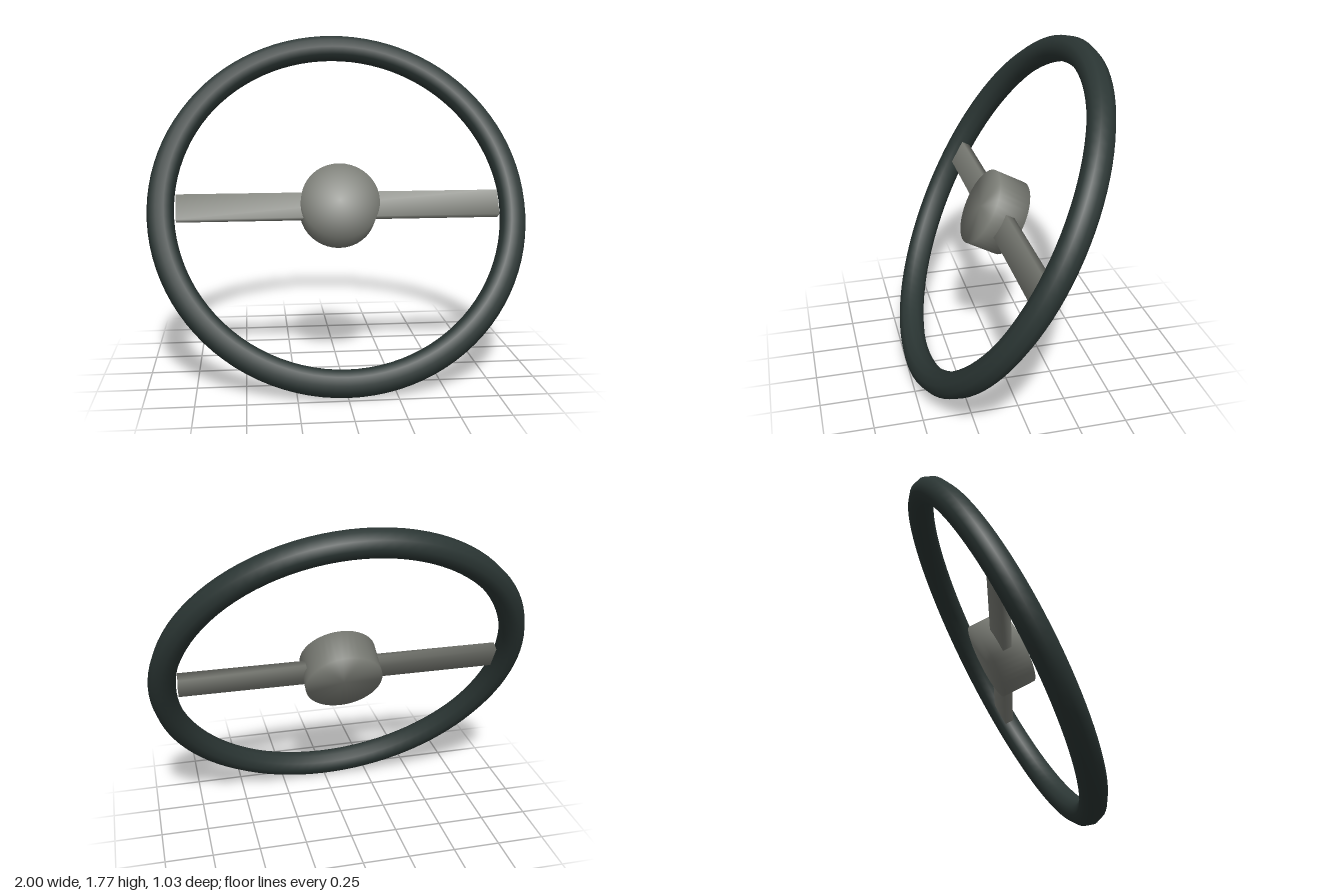
import * as THREE from 'three';
import { mergeVertices } from 'three/addons/utils/BufferGeometryUtils.js';

// Weld all corners so shading rolls softly over every edge
function soften(geometry) {
  geometry.deleteAttribute('uv');
  geometry.deleteAttribute('normal');
  const welded = mergeVertices(geometry, 1e-4);
  welded.computeVertexNormals();
  return welded;
}

export function createModel() {
  const grip = new THREE.MeshStandardMaterial({ color: 0x2b3634 });
  grip.name = 'dark grip';
  const metal = new THREE.MeshStandardMaterial({ color: 0x7c7e77 });
  metal.name = 'grey metal';

  const wheel = new THREE.Group();
  wheel.name = 'steeringWheel';
  const add = (name, geometry, material) => {
    const mesh = new THREE.Mesh(geometry, material);
    mesh.name = name;
    wheel.add(mesh);
    return mesh;
  };

  // Rim
  add('rim', new THREE.TorusGeometry(0.93, 0.07, 10, 96), grip);

  // Hub disc, facing the driver
  const hub = new THREE.CylinderGeometry(0.205, 0.205, 0.18, 40);
  hub.rotateX(Math.PI / 2);
  add('hub', soften(hub), metal);

  // Crossbar running through the hub to the rim
  add('crossbar', soften(new THREE.BoxGeometry(1.7, 0.138, 0.05)), metal);

  // Lean the wheel back and rest it on the ground
  wheel.rotation.x = -0.5;
  wheel.position.y = 0.886;

  const model = new THREE.Group();
  model.name = 'model';
  model.add(wheel);
  return model;
}
